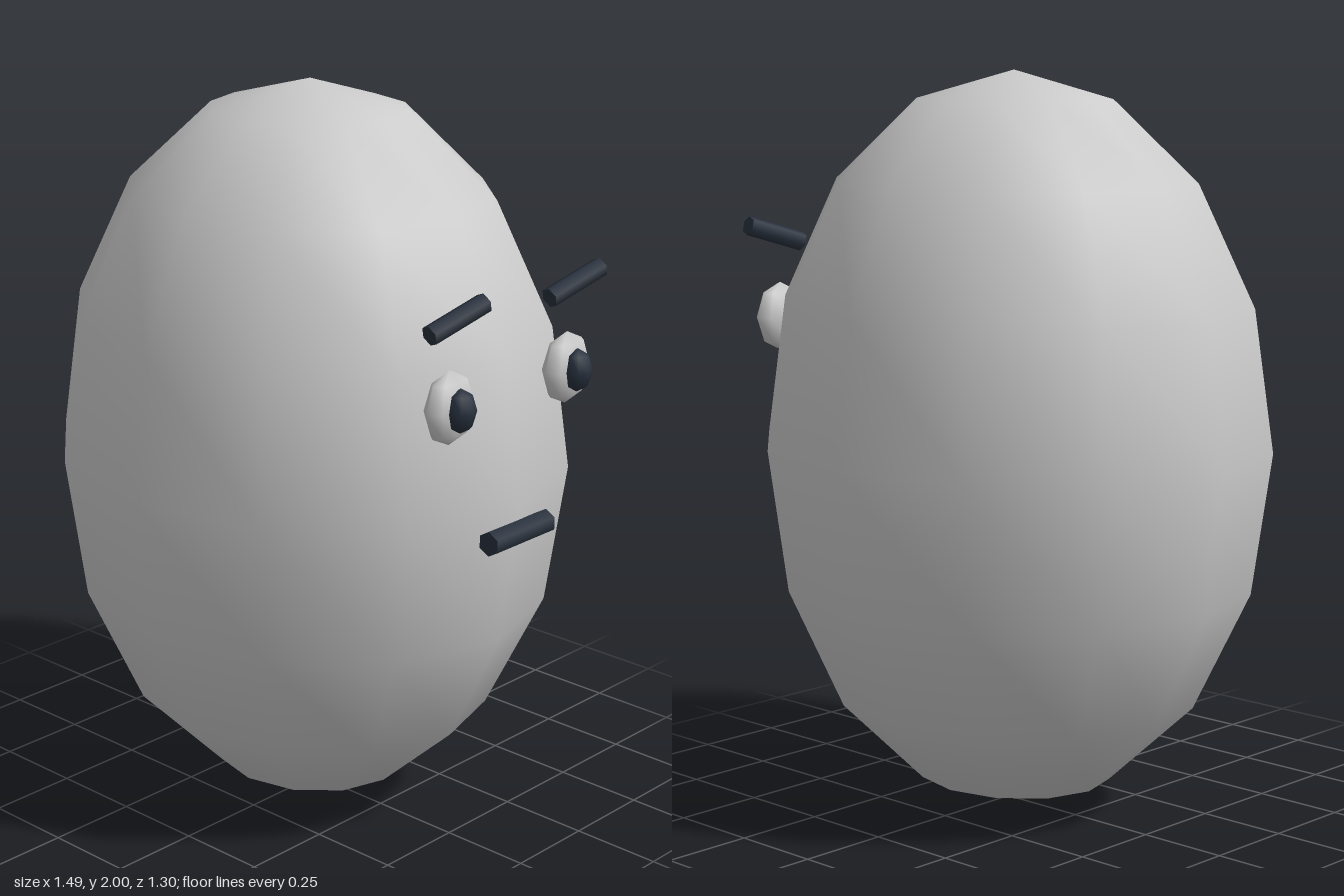
import * as THREE from 'three';

const pale = new THREE.MeshStandardMaterial({ color: 0xcccccc });
const dark = new THREE.MeshStandardMaterial({ color: 0x28313e });

// Low-poly ellipsoid with smooth normals
function ellipsoid(name, material, segments, rings, position, radii) {
  const mesh = new THREE.Mesh(new THREE.SphereGeometry(1, segments, rings), material);
  mesh.name = name;
  mesh.position.set(...position);
  mesh.scale.set(...radii);
  return mesh;
}

// Six-sided rod between two points
function rod(name, from, to, radius) {
  const a = new THREE.Vector3(...from);
  const b = new THREE.Vector3(...to);
  const direction = b.clone().sub(a);
  const geometry = new THREE.CylinderGeometry(radius, radius, direction.length(), 6);
  const mesh = new THREE.Mesh(geometry, dark);
  mesh.name = name;
  mesh.position.copy(a).add(b).multiplyScalar(0.5);
  mesh.quaternion.setFromUnitVectors(new THREE.Vector3(0, 1, 0), direction.normalize());
  return mesh;
}

export function createModel() {
  const model = new THREE.Group();
  model.name = 'eggHead';

  // Egg-shaped body, its face towards +x
  model.add(ellipsoid('body', pale, 12, 8, [-0.02, 1, 0], [0.73, 1, 0.652]));

  for (const [label, z] of [['right', 0.23], ['left', -0.23]]) {
    // Eye and pupil
    model.add(ellipsoid(label + 'Eye', pale, 8, 4, [0.667, 1.31, z], [0.043, 0.096, 0.086]));
    model.add(ellipsoid(label + 'Pupil', dark, 8, 4, [0.703, 1.31, z], [0.04, 0.058, 0.042]));
    // Eyebrows, both slanting the same way
    model.add(rod(label + 'Eyebrow', [0.677, 1.514, z + 0.09], [0.702, 1.566, z - 0.083], 0.027));
  }

  // Mouth
  model.add(rod('mouth', [0.707, 0.93, 0.115], [0.707, 0.93, -0.115], 0.033));

  return model;
}
